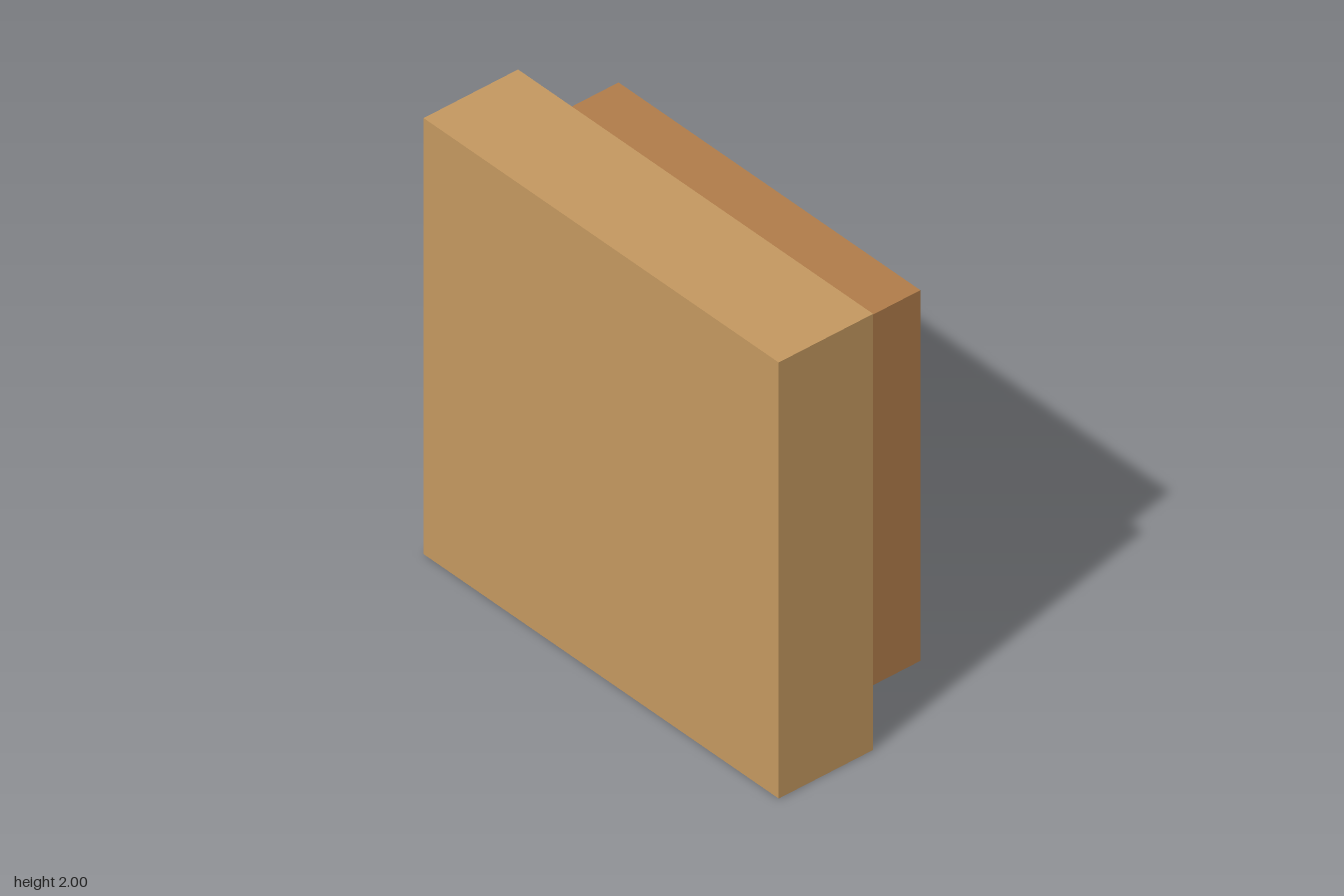
import * as THREE from 'three';

// Square solid along +x: each profile point is [half side, x]
function squareTurned(profile) {
  const points = profile.map(([half, x]) => new THREE.Vector2(half * Math.SQRT2, x));
  const turned = new THREE.LatheGeometry(points, 4, Math.PI / 4);
  turned.rotateZ(-Math.PI / 2);
  const geometry = turned.toNonIndexed();
  geometry.computeVertexNormals();
  return geometry;
}

export function createModel() {
  const group = new THREE.Group();
  const back = -0.41, rim = 0.05, floor = -0.3, face = 0.41;

  // Housing: a square block with a square recess open towards +x
  const housing = new THREE.Mesh(
    squareTurned([[0, back], [1, back], [1, rim], [0.885, rim], [0.885, floor], [0, floor]]),
    new THREE.MeshStandardMaterial({ color: 0xc49860, flatShading: true })
  );
  housing.name = 'housing';
  housing.position.y = 1;
  group.add(housing);

  // Sliding block: sits in the recess with a narrow gap all round
  const block = new THREE.Mesh(
    new THREE.BoxGeometry(face - floor, 1.7, 1.7),
    new THREE.MeshStandardMaterial({ color: 0xb07c4a, flatShading: true })
  );
  block.name = 'slidingBlock';
  block.position.set((face + floor) / 2, 1, 0);
  group.add(block);

  return group;
}
